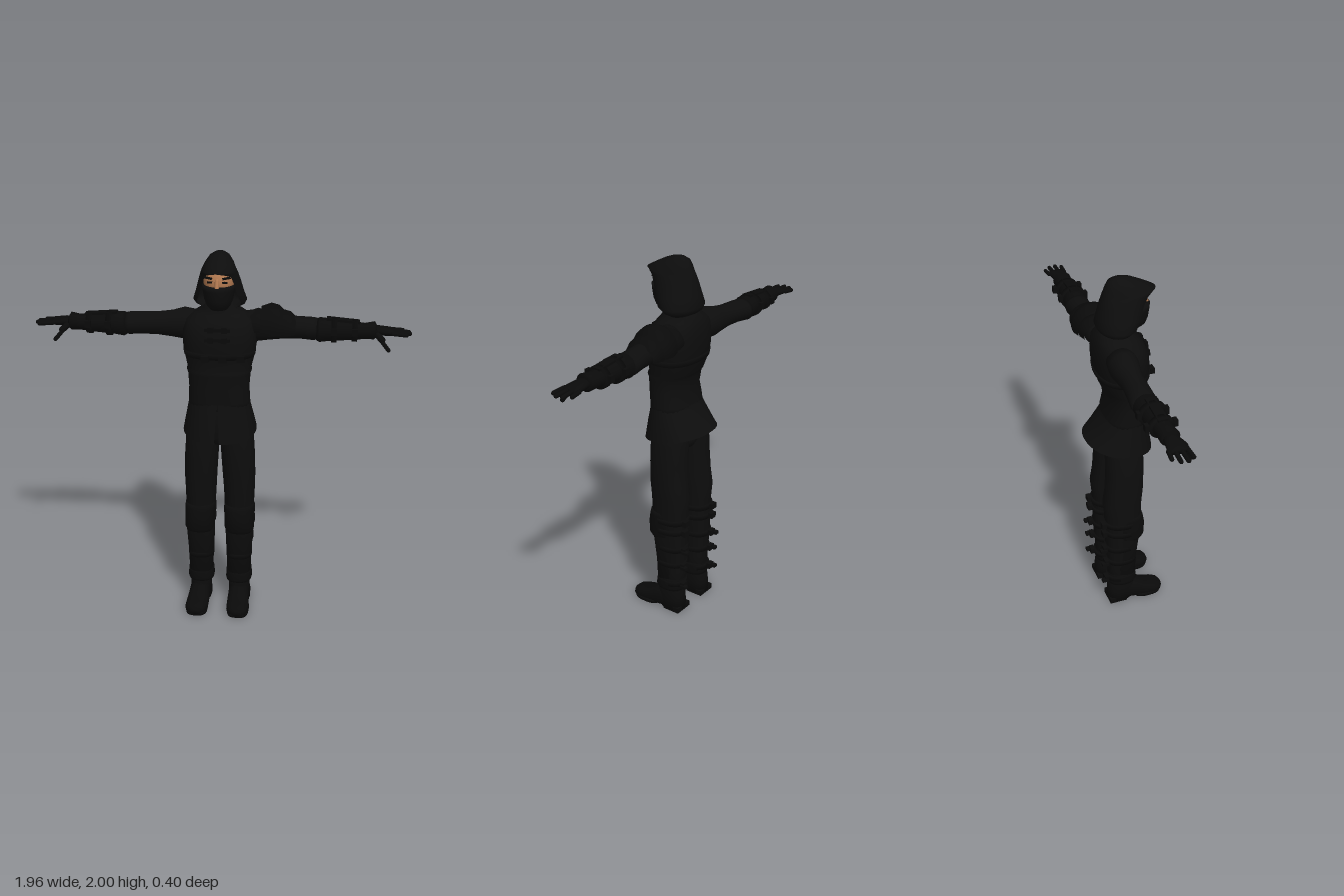
import * as THREE from 'three';

const mat = (name, color) => new THREE.MeshStandardMaterial({ name, color, side: THREE.DoubleSide });

// Skin a list of elliptical sections [t, cu, cv, ru, rv, gap, drop] along an axis.
// gap opens the ring around angle 0; hem(angle) shifts the first section along the axis.
function loft(axis, sections, { seg = 28, cap = true, n = 2, arc = null, hem = null } = {}) {
  const list = sections.slice();
  if (cap) {
    const a = list[0], b = list[list.length - 1];
    list.unshift([a[0], a[1], a[2], 0, 0]);
    list.push([b[0], b[1], b[2], 0, 0]);
  }
  const open = !cap || arc, cols = open ? seg + 1 : seg;
  const pos = [], idx = [];
  const pw = (v) => Math.sign(v) * Math.abs(v) ** (2 / n);
  list.forEach(([t, cu, cv, ru, rv, gap = 0], i) => {
    const [from, to] = arc || [gap, Math.PI * 2 - gap];
    for (let j = 0; j < cols; j++) {
      const a = from + (to - from) * j / seg;
      const u = ru * pw(Math.sin(a)), v = rv * pw(Math.cos(a));
      const k = t + (hem && i === 0 ? hem(a) : 0);
      if (axis === 'y') pos.push(cu + u, k, cv + v);
      else if (axis === 'x') pos.push(k, cu - u, cv + v);
      else pos.push(cu + u, Math.max(0, cv - v), k);
    }
  });
  for (let i = 0; i < list.length - 1; i++) {
    for (let j = 0; j < seg; j++) {
      const k = (j + 1) % cols, a = i * cols + j, b = i * cols + k, c = a + cols, d = b + cols;
      idx.push(a, b, c, b, d, c);
    }
  }
  const g = new THREE.BufferGeometry();
  g.setAttribute('position', new THREE.Float32BufferAttribute(pos, 3));
  g.setIndex(idx);
  g.computeVertexNormals();
  return g;
}

// Upright section from half width, front z and back z
const sec = (y, rx, zf, zb, gap = 0, x = 0) => [y, x, (zf + zb) / 2, rx, (zf - zb) / 2, gap];
// Upright section of a limb from inner x, outer x, front z and back z
const limb = (y, xi, xo, zf, zb) => sec(y, (xo - xi) / 2, zf, zb, 0, (xi + xo) / 2);

function mirror(geo) {
  const g = geo.clone().scale(-1, 1, 1), ix = g.index.array;
  for (let i = 0; i < ix.length; i += 3) [ix[i], ix[i + 1]] = [ix[i + 1], ix[i]];
  return g;
}

const box = (w, h, d, x, y, z, rz = 0) => new THREE.BoxGeometry(w, h, d).rotateZ(rz).translate(x, y, z);

// Rounded rod between two points
function rod(a, b, r) {
  const p = new THREE.Vector3(...a), q = new THREE.Vector3(...b), d = q.clone().sub(p);
  const g = new THREE.CapsuleGeometry(r, d.length() - 2 * r, 4, 10);
  g.applyQuaternion(new THREE.Quaternion().setFromUnitVectors(new THREE.Vector3(0, 1, 0), d.normalize()));
  return g.translate((p.x + q.x) / 2, (p.y + q.y) / 2, (p.z + q.z) / 2);
}

export function createModel() {
  const model = new THREE.Group();
  model.name = 'hoodedFigure';
  const cloth = mat('black cloth', 0x0d0d0d);
  const leather = mat('black leather', 0x0a0a0a);
  const skin = mat('skin', 0xb07850);
  const add = (name, geo, m) => {
    const mesh = new THREE.Mesh(geo, m);
    mesh.name = name;
    model.add(mesh);
  };
  const pair = (name, geo, m) => {
    add(name + 'Left', geo, m);
    add(name + 'Right', mirror(geo), m);
  };

  // Torso, pelvis and flared jacket skirt
  add('jacket', loft('y', [
    sec(1.18, .162, .118, -.10), sec(1.22, .162, .12, -.098), sec(1.30, .158, .125, -.08),
    sec(1.37, .163, .127, -.092), sec(1.39, .17, .134, -.104), sec(1.40, .166, .122, -.108),
    sec(1.46, .18, .128, -.13), sec(1.53, .192, .135, -.142), sec(1.60, .19, .128, -.145),
    sec(1.65, .175, .105, -.14), sec(1.685, .13, .08, -.13), sec(1.71, .085, .065, -.115),
    sec(1.76, .06, .06, -.08),
  ], { n: 2.3 }), cloth);
  add('pelvis', loft('y', [sec(.97, .06, .05, -.09), sec(1.02, .17, .09, -.115), sec(1.2, .155, .1, -.09)]), cloth);
  add('jacketSkirt', loft('y', [
    sec(1.045, .195, .158, -.20, .05), sec(1.12, .18, .14, -.16, .03), sec(1.20, .163, .122, -.102, .005),
    sec(1.23, .158, .118, -.095),
  ], { seg: 40, cap: false, n: 2.2, hem: (a) => Math.cos(a) * -.033 }), cloth);

  // Chest straps with buckles
  add('chestStrap', loft('y', [sec(1.465, .184, .135, -.137), sec(1.495, .189, .14, -.142)], { n: 2.3 }), leather);
  for (const x of [-.06, .03, .12]) add('chestBuckle', box(.04, .032, .025, x, 1.475, x > .1 ? .127 : .145), leather);
  for (const y of [1.57, 1.62]) {
    add('frontStrap', box(.13, .016, .012, 0, y, y > 1.6 ? .12 : .132), leather);
    for (const x of [-.035, .035]) add('frontBuckle', box(.03, .028, .014, x, y, y > 1.6 ? .122 : .134), leather);
  }

  // Head: skin around the eyes, cloth mask below, painted eyes and brows
  add('face', loft('y', [
    sec(1.80, .07, .12, -.05), sec(1.85, .078, .125, -.06), sec(1.885, .076, .122, -.06), sec(1.92, .062, .10, -.05),
  ]), skin);
  add('nose', rod([0, 1.885, .118], [0, 1.83, .142], .011), skin);
  add('mask', loft('y', [
    sec(1.715, .045, .10, -.03), sec(1.735, .06, .13, -.04), sec(1.77, .074, .143, -.05),
    sec(1.82, .082, .15, -.06), sec(1.842, .083, .152, -.06),
  ]), cloth);
  pair('eye', box(.034, .009, .006, .034, 1.866, .115).rotateY(0), leather);
  pair('brow', box(.055, .011, .006, .04, 1.886, .113, .2), leather);

  // Hood: open below the peaked brim
  add('hood', loft('y', [
    sec(1.70, .08, .02, -.09, 1.1), sec(1.725, .125, .055, -.118, 1.0), sec(1.75, .138, .09, -.13, .95),
    sec(1.80, .122, .115, -.122, .88), sec(1.86, .106, .135, -.108, .85), sec(1.895, .095, .152, -.098, .8),
    sec(1.91, .09, .166, -.094, .5), sec(1.922, .085, .18, -.09, 0), sec(1.95, .072, .13, -.08, 0),
    sec(1.98, .05, .07, -.065, 0), sec(1.995, .025, .03, -.04, 0), sec(2, .001, 0, -.002, 0),
  ], { seg: 40, cap: false }), cloth);

  // Sleeves, bracers and hands
  pair('sleeve', loft('x', [
    [.12, 1.61, -.045, .07, .075], [.19, 1.607, -.05, .083, .078], [.25, 1.602, -.052, .07, .068],
    [.33, 1.60, -.055, .06, .058], [.42, 1.598, -.06, .058, .062], [.48, 1.593, -.064, .059, .066],
    [.51, 1.593, -.064, .052, .06],
  ]), cloth);
  pair('bracer', loft('x', [
    [.495, 1.59, -.06, .055, .06], [.51, 1.59, -.06, .064, .066], [.56, 1.592, -.058, .058, .06],
    [.66, 1.592, -.056, .05, .053], [.74, 1.592, -.054, .041, .046], [.79, 1.597, -.054, .046, .05],
    [.80, 1.597, -.054, .03, .04],
  ]), leather);
  for (const [x, r] of [[.585, .065], [.69, .057]]) {
    pair('bracerStrap', loft('x', [[x - .014, 1.592, -.056, r, r + .006], [x + .014, 1.592, -.056, r, r + .006]]), leather);
    for (const a of [.012, -.128]) pair('bracerBuckle', box(.03, .035, .02, x, 1.6, a), leather);
  }
  pair('forearmPlate', box(.17, .012, .05, .63, 1.645, -.056, -.08), leather);
  pair('palm', loft('x', [
    [.77, 1.597, -.054, .026, .034], [.82, 1.597, -.054, .025, .04], [.87, 1.595, -.054, .02, .048],
    [.90, 1.592, -.054, .013, .047],
  ]), leather);
  [[-.098, .945, -.105], [-.069, .975, -.073], [-.04, .98, -.038], [-.012, .962, -.006]].forEach(([z, tip, z2]) =>
    pair('finger', rod([.87, 1.594, z], [tip, 1.588, z2], .011), leather));
  pair('thumb', rod([.795, 1.59, -.03], [.84, 1.555, .012], .017), leather);
  pair('thumbTip', rod([.825, 1.56, .005], [.87, 1.508, .026], .011), leather);

  // Layered guard on the left shoulder
  const over = { cap: false, arc: [Math.PI * .95, Math.PI * 2.05], seg: 20 };
  [[.14, 1.61, .065, .10], [.21, 1.605, .10, .112], [.27, 1.597, .075, .10]].forEach(([x, cy, ru, rv], i) =>
    add('shoulderPlate' + (i + 1), loft('x', [
      [x, cy, -.052, ru, rv * .9], [x + .05, cy, -.054, ru + .018, rv], [x + .09, cy, -.054, ru + .008, rv * .97],
      [x + .12, cy - .003, -.054, ru - .022, rv * .86],
    ], { ...over, arc: [-Math.PI * 1.08, Math.PI * .08] }), leather));

  // Trouser legs
  pair('trouserLeg', loft('y', [
    limb(.13, .045, .165, .03, -.112), limb(.25, .04, .168, .038, -.112), limb(.38, .035, .178, .045, -.122),
    limb(.50, .03, .183, .062, -.125), limb(.62, .025, .186, .074, -.128), limb(.70, .021, .189, .077, -.136),
    limb(.78, .016, .191, .084, -.122), limb(.90, .008, .188, .088, -.115), limb(1.02, .002, .18, .088, -.115),
    limb(1.1, .002, .165, .07, -.10),
  ], { n: 2.3 }), cloth);

  // Shin guards, knee pads, straps and buckles
  pair('shinGuard', loft('y', [
    limb(.16, .042, .17, .042, -.09), limb(.3, .036, .174, .048, -.1), limb(.47, .03, .186, .066, -.1),
  ], { n: 2.3 }), leather);
  pair('kneePad', loft('y', [
    limb(.45, .04, .178, .065, -.05), limb(.475, .028, .19, .089, -.09), limb(.54, .026, .19, .093, -.1),
    limb(.59, .024, .189, .085, -.09), limb(.615, .028, .186, .077, -.07),
  ], { n: 2.3 }), leather);
  [[.18, .038, .176, .045, -.122], [.30, .034, .177, .05, -.122], [.40, .032, .183, .055, -.13],
    [.51, .024, .191, .08, -.132], [.57, .022, .191, .08, -.135]].forEach(([y, xi, xo, zf, zb], i) => {
    pair('legStrap', loft('y', [limb(y - .014, xi, xo, zf, zb), limb(y + .014, xi, xo, zf, zb)], { n: 2.3 }), leather);
    pair('legBuckle', box(.04, .032, .024, .125, y, zb - .008), leather);
    if (i < 3) pair('strapEnd', box(.026, .016, .036, .14, y - .004, zb - .02), leather);
  });
  pair('bootCuff', loft('y', [
    limb(.135, .036, .174, .042, -.112), limb(.15, .033, .178, .05, -.117), limb(.19, .035, .176, .045, -.116),
    limb(.205, .04, .17, .038, -.11),
  ], { n: 2.3 }), leather);

  // Boots with heel and sole
  pair('bootAnkle', loft('y', [
    limb(.01, .05, .168, .02, -.12), limb(.07, .05, .166, .045, -.118), limb(.15, .05, .163, .03, -.108),
  ], { n: 2.4 }), leather);
  pair('bootFoot', loft('z', [
    [-.06, .109, .05, .055, .05], [.0, .109, .06, .057, .065], [.05, .11, .05, .058, .06],
    [.10, .112, .038, .061, .043], [.15, .114, .033, .061, .035], [.185, .115, .031, .048, .027],
    [.2, .115, .03, .025, .015],
  ], { n: 2.4 }), leather);
  pair('bootHeel', box(.108, .03, .1, .109, .015, -.068), leather);
  pair('bootSole', loft('y', [limb(0, .056, .172, .192, .035), limb(.022, .053, .176, .2, .03)], { n: 2.8 }), leather);

  return model;
}
